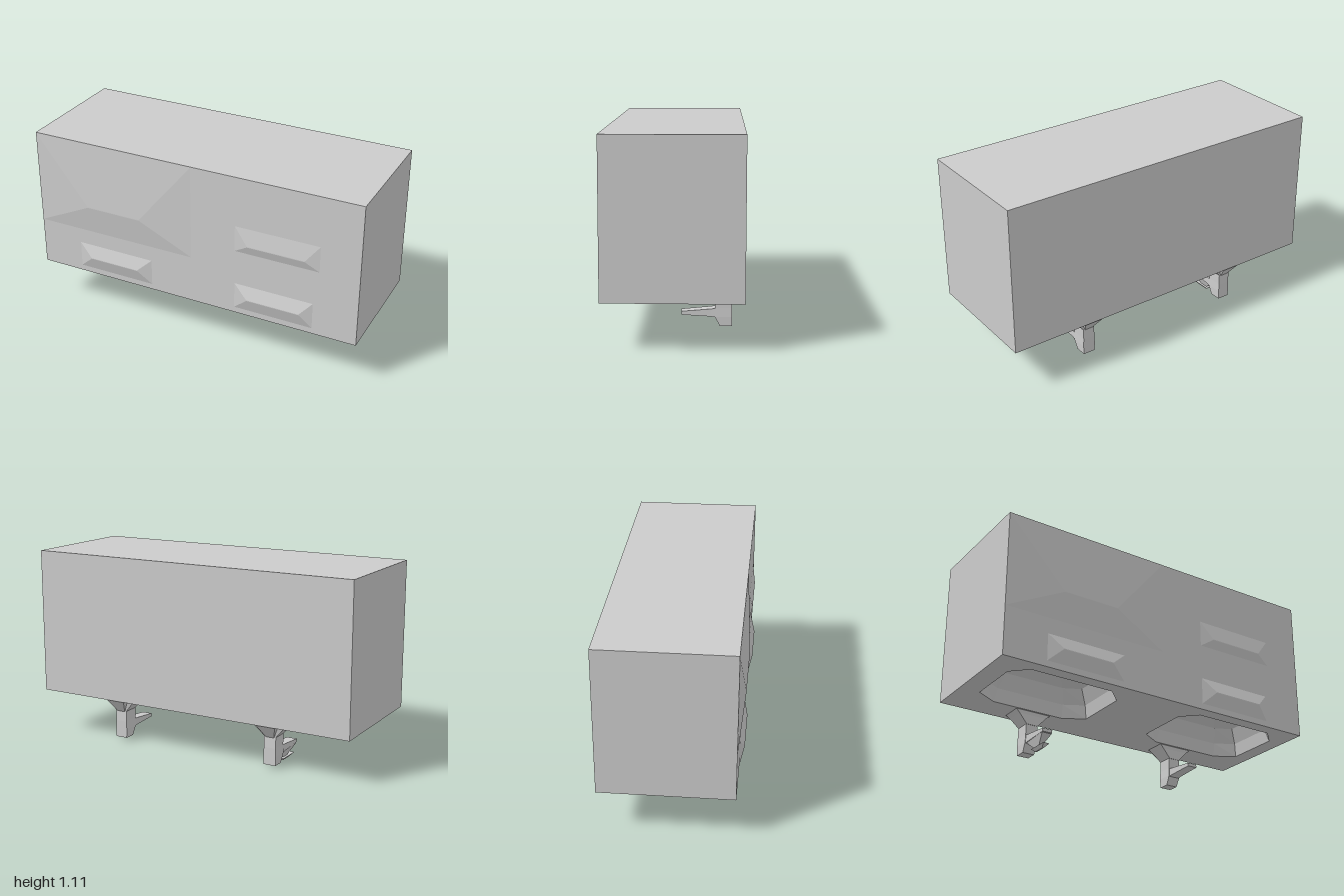
import * as THREE from 'three';

const material = new THREE.MeshStandardMaterial({ color: 0xcccccc, flatShading: true, side: THREE.DoubleSide });

function add(parent, name, geometry) {
  const mesh = new THREE.Mesh(geometry, material);
  mesh.name = name;
  parent.add(mesh);
  return mesh;
}

// Joins cross-sections with the same number of points, optionally closing the ends
function loft(rings, capStart = true, capEnd = true) {
  const points = [];
  const n = rings[0].length;
  for (let r = 0; r < rings.length - 1; r++) {
    for (let i = 0; i < n; i++) {
      const j = (i + 1) % n;
      const a = rings[r][i], b = rings[r][j], c = rings[r + 1][j], d = rings[r + 1][i];
      points.push(a, b, c, a, c, d);
    }
  }
  const cap = (ring, flip) => {
    for (let i = 1; i < n - 1; i++) {
      points.push(ring[0], ring[flip ? i + 1 : i], ring[flip ? i : i + 1]);
    }
  };
  if (capStart) cap(rings[0], true);
  if (capEnd) cap(rings[rings.length - 1], false);
  const geometry = new THREE.BufferGeometry();
  geometry.setAttribute('position', new THREE.Float32BufferAttribute(points.flat(), 3));
  geometry.computeVertexNormals();
  return geometry;
}

// Rectangle lying level at height y, wound to face up
const level = (y, x0, x1, z0, z1) => [[x0, y, z1], [x1, y, z1], [x1, y, z0], [x0, y, z0]];
// Upright rectangle at depth z, wound to face forward
const upright = (z, x0, x1, y0, y1) => [[x0, y0, z], [x1, y0, z], [x1, y1, z], [x0, y1, z]];

const BOTTOM = 0.255, TOP = 1.105, BACK = -0.38, FRONT = 0.357;

// Basin outline with cut corners, as [x, z] pairs
function basinOutline(cx, scaleX, scaleZ) {
  const half = [[0.25, 0.25], [0.34, 0.16], [0.34, -0.16], [0.22, -0.23]];
  const all = [...half, ...half.map(([x, z]) => [-x, z]).reverse()];
  return all.map(([x, z]) => [cx + x * scaleX, 0.03 + z * scaleZ]);
}

function createBasin(parent, name, cx) {
  const ring = (y, sx, sz) => basinOutline(cx, sx, sz).map(([x, z]) => [x, y, z]);
  add(parent, name, loft([
    ring(BOTTOM, 1, 1), ring(0.33, 0.95, 0.9), ring(0.41, 0.82, 0.7), ring(0.45, 0.6, 0.45),
  ], false, true));
}

function createTap(name, x, finned) {
  const tap = new THREE.Group();
  tap.name = name;
  tap.position.x = x;

  // Flared base and tapering stem
  add(tap, 'tapBase', loft([
    level(0.18, -0.035, 0.035, -0.315, -0.22),
    level(0.235, -0.085, 0.085, -0.33, -0.215),
    level(0.257, -0.11, 0.11, -0.34, -0.21),
  ]));
  add(tap, 'tapStem', loft([
    level(0.018, -0.036, 0.036, -0.318, -0.252),
    level(0.07, -0.038, 0.038, -0.318, -0.225),
    level(0.118, -0.036, 0.036, -0.318, -0.225),
    level(0.257, -0.036, 0.036, -0.312, -0.22),
  ]));

  // Wedge bracing the stem at the back
  add(tap, 'rearBrace', loft([
    level(0.178, -0.025, 0.025, -0.318, -0.3),
    level(0.257, -0.06, 0.06, -0.378, -0.3),
  ]));

  // Spout reaching forward
  add(tap, 'spout', loft([
    upright(-0.25, -0.036, 0.036, 0.063, 0.118),
    upright(-0.2, -0.033, 0.033, 0.07, 0.112),
    upright(-0.042, -0.03, 0.03, 0.078, 0.097),
  ]));

  if (finned) {
    // Tapered fin and separate sliver below the spout
    add(tap, 'spoutFin', loft([
      level(0.02, -0.008, 0.008, -0.17, -0.12),
      level(0.075, -0.03, 0.03, -0.235, -0.048),
    ]));
    add(tap, 'spoutSliver', loft([
      level(0, -0.004, 0.004, -0.165, -0.085),
      level(0.018, -0.02, 0.02, -0.185, -0.05),
    ]));
  }
  return tap;
}

export function createModel() {
  const model = new THREE.Group();
  model.name = 'cabinet';

  // Case walls and top, open below
  add(model, 'case', loft([
    level(BOTTOM, -0.998, 0.998, BACK, FRONT),
    level(TOP, -0.998, 0.998, BACK, FRONT),
  ], false, true));

  // Underside with two basin openings
  const underside = new THREE.Shape([
    [-0.998, BACK], [0.998, BACK], [0.998, FRONT], [-0.998, FRONT],
  ].map(([x, z]) => new THREE.Vector2(x, z)));
  const basinCentres = { rightBasin: -0.54, leftBasin: 0.56 };
  for (const [name, cx] of Object.entries(basinCentres)) {
    underside.holes.push(new THREE.Path(basinOutline(cx, 1, 1).map(([x, z]) => new THREE.Vector2(x, z))));
    createBasin(model, name, cx);
  }
  add(model, 'underside', new THREE.ShapeGeometry(underside).rotateX(Math.PI / 2).translate(0, BOTTOM, 0));

  // Raised front panels: outline, then the ridge they rise to
  const panels = [
    ['largePanel', -0.997, 0, 0.54, 1.1, -0.66, -0.32, 0.71, 0.383],
    ['upperHandle', 0.27, 0.77, 0.655, 0.81, 0.35, 0.69, 0.708, 0.375],
    ['lowerLeftHandle', 0.27, 0.74, 0.29, 0.447, 0.355, 0.67, 0.37, 0.383],
    ['lowerRightHandle', -0.74, -0.26, 0.29, 0.447, -0.655, -0.345, 0.37, 0.383],
  ];
  for (const [name, x0, x1, y0, y1, r0, r1, ry, rz] of panels) {
    add(model, name, loft([
      upright(FRONT + 0.001, x0, x1, y0, y1),
      upright(rz, r0, r1, ry - 0.002, ry + 0.002),
    ], false, true));
  }

  // Taps hanging behind each basin
  model.add(createTap('rightTap', -0.5, true), createTap('leftTap', 0.49, false));
  return model;
}
